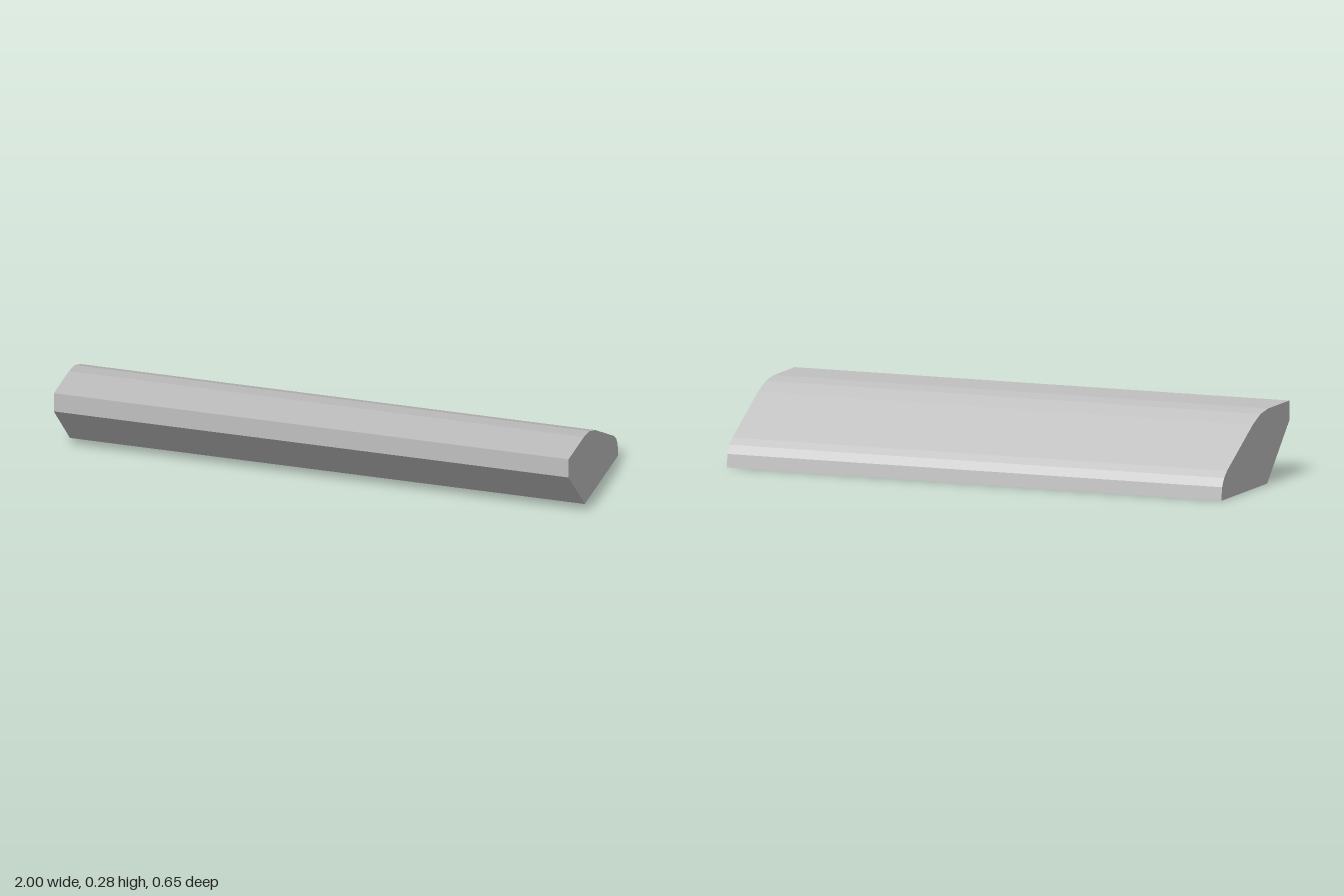
import * as THREE from 'three';

// Side profile as [z, y], from the front lip over the top to the back and base
const PROFILE = [
  [0.325, 0.207], [0.325, 0.282], [0.125, 0.282], [0.05, 0.272], [-0.025, 0.242],
  [-0.27, 0.105], [-0.298, 0.082], [-0.317, 0.05], [-0.325, 0], [0.113, 0],
];
const LENGTH = 2;

export function createModel() {
  const group = new THREE.Group();
  group.name = 'slopedBar';
  const lightGrey = new THREE.MeshStandardMaterial({ color: 0xc0c0c0, flatShading: true });
  lightGrey.name = 'lightGrey';

  // One solid bar: the profile swept along x
  const shape = new THREE.Shape(PROFILE.map(([z, y]) => new THREE.Vector2(-z, y)));
  const geometry = new THREE.ExtrudeGeometry(shape, { depth: LENGTH, bevelEnabled: false });
  geometry.translate(0, 0, -LENGTH / 2);
  geometry.rotateY(Math.PI / 2);

  const bar = new THREE.Mesh(geometry, lightGrey);
  bar.name = 'bar';
  group.add(bar);
  return group;
}
